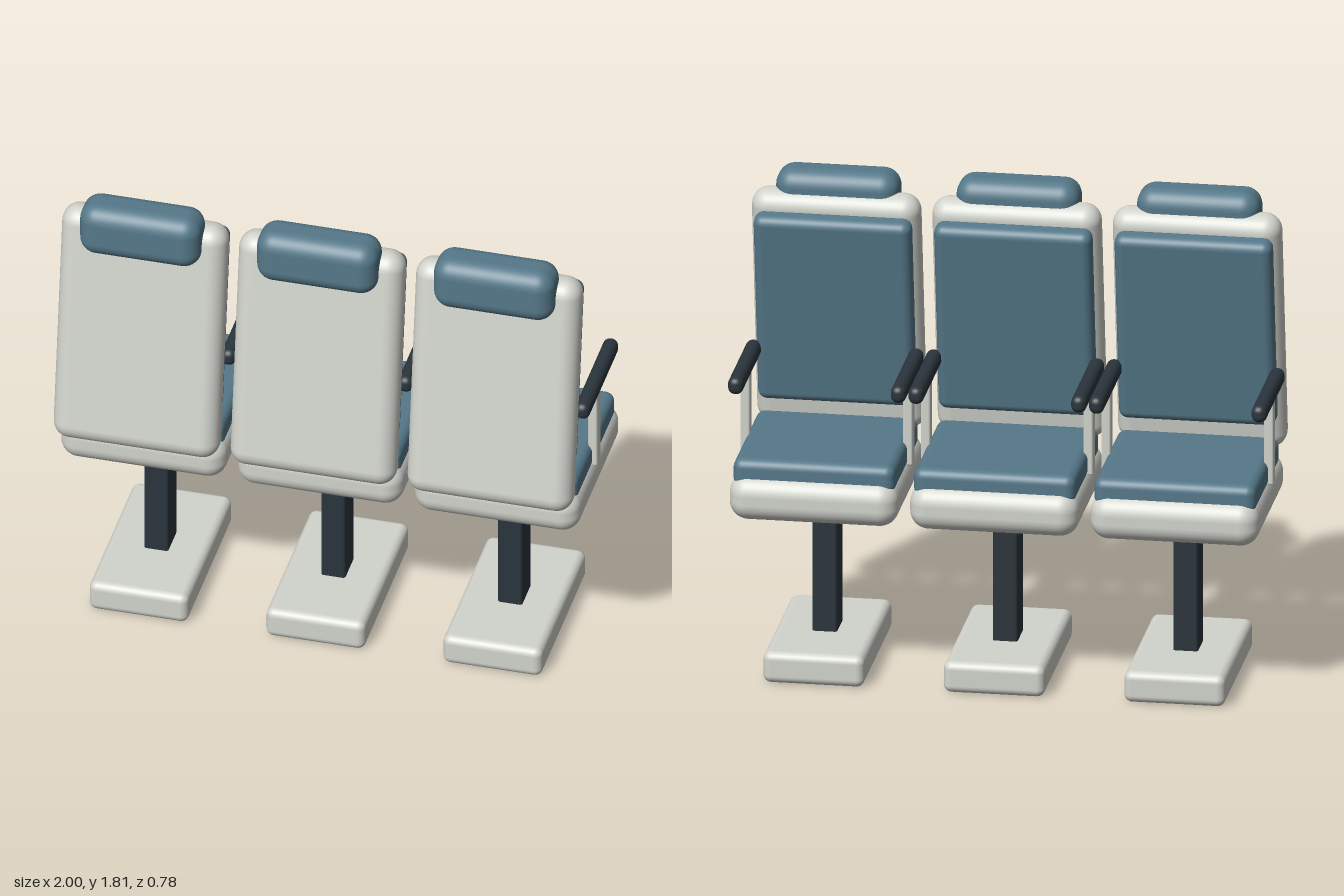
import * as THREE from 'three';
import { RoundedBoxGeometry } from 'three/addons/geometries/RoundedBoxGeometry.js';

const material = (name, color) => {
  const m = new THREE.MeshStandardMaterial({ color });
  m.name = name;
  return m;
};

export function createModel() {
  const shell = material('lightGreyShell', 0xd2d4cd);
  const fabric = material('tealFabric', 0x56798a);
  const dark = material('darkMetal', 0x2b353d);

  // Rounded block given by size, corner radius and centre
  const block = (parent, name, mat, [w, h, d], r, [x, y, z]) => {
    const mesh = new THREE.Mesh(new RoundedBoxGeometry(w, h, d, 5, r), mat);
    mesh.name = name;
    mesh.position.set(x, y, z);
    parent.add(mesh);
    return mesh;
  };

  const createSeat = () => {
    const seat = new THREE.Group();

    // Floor stand
    block(seat, 'base', shell, [0.375, 0.12, 0.672], 0.03, [0, 0.06, -0.019]);
    block(seat, 'post', dark, [0.092, 0.58, 0.134], 0.01, [0, 0.39, -0.019]);

    // Seat pan and cushion
    block(seat, 'seatPan', shell, [0.627, 0.17, 0.671], 0.07, [0, 0.715, -0.053]);
    block(seat, 'seatCushion', fabric, [0.6, 0.11, 0.582], 0.035, [0, 0.808, -0.06]);

    // Backrest, tilted towards the sitter; the sitter faces -z
    const back = new THREE.Group();
    back.name = 'backrest';
    back.position.set(0, 1.264, 0.257);
    back.rotation.x = -0.152;
    block(back, 'backShell', shell, [0.627, 0.955, 0.136], 0.064, [0, 0, 0]);
    block(back, 'backCushion', fabric, [0.585, 0.757, 0.09], 0.035, [0, 0.041, -0.092]);
    seat.add(back);

    block(seat, 'headrest', fabric, [0.457, 0.21, 0.173], 0.065, [0, 1.705, 0.243]);

    // Armrests on both sides
    for (const side of [-1, 1]) {
      block(seat, 'armrest', dark, [0.056, 0.066, 0.457], 0.026, [side * 0.302, 1.121, -0.055]);
      block(seat, 'armrestSupport', shell, [0.036, 0.34, 0.052], 0.008, [side * 0.302, 0.937, -0.021]);
    }
    return seat;
  };

  // Row of three seats
  const model = new THREE.Group();
  model.name = 'seatRow';
  ['rightSeat', 'middleSeat', 'leftSeat'].forEach((name, i) => {
    const seat = createSeat();
    seat.name = name;
    seat.position.x = (i - 1) * 0.67;
    model.add(seat);
  });
  return model;
}
